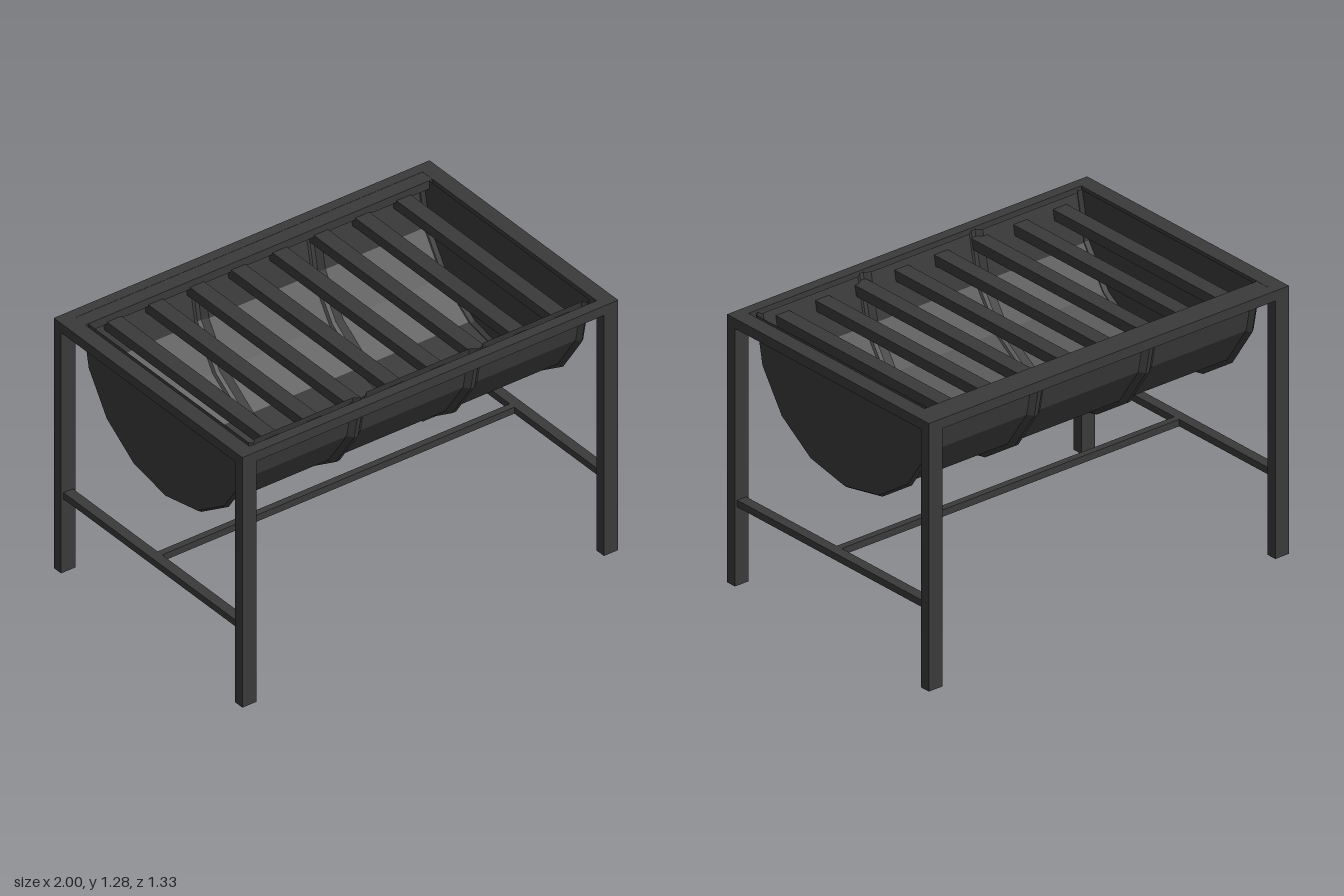
import * as THREE from 'three';

const metal = new THREE.MeshStandardMaterial({ color: 0x3a3a3a, flatShading: true });
const sheet = new THREE.MeshStandardMaterial({ color: 0x3a3a3a, flatShading: true, side: THREE.DoubleSide });

export function createModel() {
  const group = new THREE.Group();

  // Box given by its minimum and maximum corners
  const bar = (name, [x0, y0, z0], [x1, y1, z1]) => {
    const mesh = new THREE.Mesh(new THREE.BoxGeometry(x1 - x0, y1 - y0, z1 - z0), metal);
    mesh.position.set((x0 + x1) / 2, (y0 + y1) / 2, (z0 + z1) / 2);
    mesh.name = name;
    group.add(mesh);
  };

  const X = 1, Z = 0.667, H = 1.28;   // outer half width, half depth, height
  const xi = 0.924, zi = 0.615;       // inner faces of the frame tubes
  const yTop = 1.232;                 // underside of the top frame

  // Legs
  for (const sx of [-1, 1]) for (const sz of [-1, 1]) {
    const x = sx * (X + xi) / 2, z = sz * (Z + zi) / 2;
    bar('leg', [x - 0.038, 0, z - 0.026], [x + 0.038, yTop, z + 0.026]);
  }

  // Top frame
  bar('frontRail', [-X, yTop, zi], [X, H, Z]);
  bar('backRail', [-X, yTop, -Z], [X, H, -zi]);
  for (const s of [-1, 1]) {
    const x = s * (X + xi) / 2;
    bar('sideRail', [x - 0.038, yTop, -zi], [x + 0.038, H, zi]);
    // Lower side brace between the legs
    bar('sideBrace', [x - 0.025, 0.375, -zi], [x + 0.025, 0.408, zi]);
  }

  // Lower long brace and the ledge along the back rail
  bar('longBrace', [-0.94, 0.375, -0.0165], [0.94, 0.408, 0.0165]);
  bar('backLedge', [-xi, 1.237, -zi], [xi, 1.279, -0.545]);

  // Grill slats
  for (let i = 0; i < 8; i++) {
    const x = -0.77 + i * 0.22;
    bar('grillSlat', [x - 0.038, 1.197, -0.575], [x + 0.038, 1.247, zi]);
  }

  // Half drum: closed ends, raised end rims and two raised ribs (radius, x)
  const half = [
    [0.6, 0.3], [0.6, 0.32], [0.58, 0.347], [0.58, 0.872],
    [0.6, 0.89], [0.588, 0.907], [0, 0.907],
  ];
  const inner = [[0.58, 0.273], [0.6, 0.3]];
  const right = [...inner, ...half.slice(1)];
  const profile = [...right.map(([r, x]) => [r, -x]).reverse(), ...right]
    .map(([r, x]) => new THREE.Vector2(r, x));
  const drumGeometry = new THREE.LatheGeometry(profile, 8, 0, Math.PI);
  drumGeometry.rotateZ(-Math.PI / 2);
  const drum = new THREE.Mesh(drumGeometry, sheet);
  drum.position.y = 1.278;
  drum.name = 'halfDrum';
  group.add(drum);

  return group;
}
